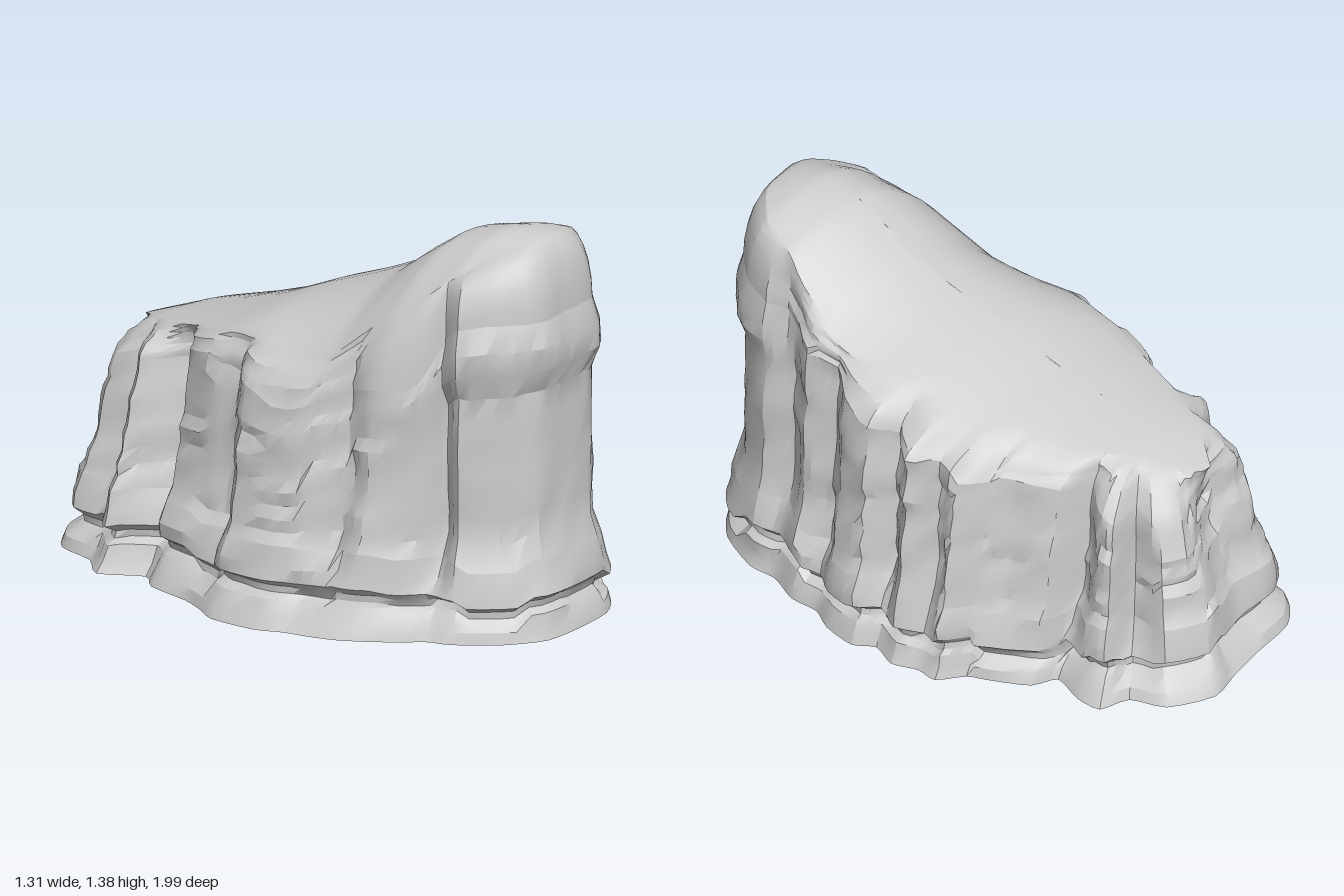
import * as THREE from 'three';
import { toCreasedNormals } from 'three/addons/utils/BufferGeometryUtils.js';

// Foot outline, clockwise from the back: x, z, depth of the vertical crease there
const FOOT = [
  [-0.02, -1, 0], [0.14, -0.93, 0], [0.2, -0.81, 0.05], [0.31, -0.78, 0], [0.32, -0.68, 0],
  [0.29, -0.56, 0.04], [0.38, -0.52, 0], [0.46, -0.4, 0.03], [0.5, -0.33, 0], [0.59, -0.27, 0],
  [0.59, -0.19, 0.04], [0.63, -0.1, 0], [0.6, 0, 0.05], [0.65, 0.07, 0], [0.64, 0.2, 0],
  [0.6, 0.29, 0.04], [0.61, 0.4, 0], [0.57, 0.52, 0.04], [0.58, 0.63, 0], [0.52, 0.8, 0],
  [0.42, 0.9, 0], [0.25, 0.96, 0], [0.09, 0.99, 0], [-0.06, 0.93, 0], [-0.19, 0.82, 0],
  [-0.24, 0.74, 0.08], [-0.32, 0.68, 0.01], [-0.45, 0.55, 0], [-0.51, 0.45, 0.06], [-0.55, 0.36, 0],
  [-0.61, 0.27, 0], [-0.65, 0.1, 0], [-0.62, 0, 0.05], [-0.6, -0.1, 0], [-0.6, -0.28, 0],
  [-0.55, -0.37, 0.05], [-0.66, -0.5, 0], [-0.59, -0.62, 0.05], [-0.58, -0.78, 0], [-0.48, -0.88, 0],
  [-0.3, -0.92, 0.03], [-0.15, -0.96, 0],
];
// Edge of the sloping top
const PLATEAU = [
  [-0.2, -0.8], [-0.11, -0.76], [0, -0.62], [0.12, -0.5], [0.2, -0.35], [0.3, -0.15], [0.4, 0.05],
  [0.47, 0.3], [0.47, 0.5], [0.42, 0.68], [0.3, 0.8], [0.1, 0.82], [-0.05, 0.73], [-0.2, 0.57],
  [-0.34, 0.35], [-0.39, 0.1], [-0.38, -0.15], [-0.36, -0.4], [-0.31, -0.62],
];
// Height along z of the ridge and of the shoulder where the walls end
const RIDGE = [[-0.9, 0.7], [-0.8, 0.75], [-0.6, 0.83], [-0.4, 0.89], [-0.2, 0.96], [0, 1.05], [0.2, 1.13],
  [0.35, 1.2], [0.45, 1.28], [0.55, 1.35], [0.7, 1.385], [0.82, 1.37], [0.95, 1.3]];
const SHOULDER = [[-0.9, 0.64], [-0.6, 0.73], [-0.3, 0.79], [0, 0.85], [0.2, 0.94], [0.5, 1.04], [0.9, 1.12]];
// Swelling foot: height, inset
const SKIRT = [[0, 0], [0.04, 0.012], [0.08, 0.025], [0.1, 0.05], [0.125, 0.045], [0.15, 0.005], [0.2, 0.01], [0.27, 0.03]];
const SUB = 3, N = FOOT.length * SUB, WALL_ROWS = 10, DOME_ROWS = 6, TOP_ROWS = 6;

const { lerp, clamp, smoothstep } = THREE.MathUtils;

function sample(table, v) {
  if (v <= table[0][0]) return table[0][1];
  for (let i = 1; i < table.length; i++) {
    const [a, p] = table[i - 1], [b, q] = table[i];
    if (v <= b) return lerp(p, q, (v - a) / (b - a));
  }
  return table[table.length - 1][1];
}

// Repeatable noise from -1 to 1
function noise(i, j) {
  const s = Math.sin(i * 127.1 + j * 311.7) * 43758.5453;
  return (s - Math.floor(s)) * 2 - 1;
}

// Where a ray from the ridge point (cx, cz) in direction (nx, nz) meets the plateau edge
function plateauPoint(cx, cz, nx, nz) {
  for (let i = 0; i < PLATEAU.length; i++) {
    const [px, pz] = PLATEAU[i], [qx, qz] = PLATEAU[(i + 1) % PLATEAU.length];
    const ax = px - cx, az = pz - cz, ex = qx - px, ez = qz - pz, d = nx * ez - nz * ex;
    const t = (ax * ez - az * ex) / d, u = (ax * nz - az * nx) / d;
    if (t > 0 && u >= 0 && u <= 1) return [cx + nx * t, cz + nz * t];
  }
  return [cx, cz];
}

// The top falls away from the ridge, faster on the model's right
function topHeight(x, z) {
  const off = x - 0.25 * z;
  const fall = off < 0 ? lerp(0.55, 1.9, smoothstep(z, -0.2, 0.7)) : lerp(0.4, 0.9, smoothstep(z, -0.2, 0.5));
  return sample(RIDGE, z) - fall * off * off;
}

// One vertical strip of the rock, from foot to ridge
function column(curve, j) {
  const p = curve.getPoint(j / N), x = p.x, z = p.z, crease = p.y;
  const cz = clamp(z, -0.55, 0.6), cx = 0.25 * cz;
  const len = Math.hypot(x - cx, z - cz), nx = (x - cx) / len, nz = (z - cz) / len;
  const lobe = Math.floor(j / 4), front = smoothstep(z, 0.5, 0.75);
  const setBack = 0.035 * Math.max(smoothstep(-x, 0.15, 0.35), smoothstep(-z, 0.3, 0.7));
  const at = (y, inset) => [x - nx * inset, y, z - nz * inset];
  const pts = SKIRT.map(([y, inset], i) =>
    at(y + (i > 1 ? noise(lobe, 3) * 0.025 : 0), inset + setBack * smoothstep(y, 0, 0.1)
      + crease * smoothstep(y, 0.08, 0.27) + (i ? noise(i, lobe) * 0.01 : 0)));
  // Ribbed walls leaning inwards, with a collar at the front
  const lowSide = 0.2 * smoothstep(-x, 0.18, 0.35) * smoothstep(z, -0.1, 0.3);
  const yS = sample(SHOULDER, z) - lowSide + noise(lobe, 9) * 0.025 * (1 - front);
  const y0 = pts[pts.length - 1][1];
  const lean = (x < 0 ? 0.05 : 0.015) + 0.04 * smoothstep(-z, 0.1, 0.4);
  for (let i = 1; i <= WALL_ROWS; i++) {
    const t = i / WALL_ROWS, y = lerp(y0, yS, t);
    const collar = front * (t > 0.95 ? 0 : t > 0.75 ? -0.025 : 0.015);
    pts.push(at(y + noise(i, lobe) * 0.012 * (1 - front),
      0.045 + setBack + lean * t * (1 - front) + 0.015 * t + crease * (1 - 0.3 * t) + collar
      + noise(i + 20, lobe) * 0.011 * (1 - 0.6 * front) + noise(i, j) * 0.004));
  }
  // Shoulder: rounded at the front, nearly a chamfer elsewhere
  const s = pts[pts.length - 1], [px, pz] = plateauPoint(cx, cz, nx, nz), py = topHeight(px, pz);
  const flat = 0.65 * (1 - front);
  for (let i = 1; i <= DOME_ROWS; i++) {
    const t = i / DOME_ROWS, a = t * Math.PI / 2;
    const h = lerp(1 - Math.cos(a), t, flat), v = lerp(Math.sin(a), t, flat);
    const rough = i < DOME_ROWS ? noise(i + 40, lobe) * 0.008 * (1 - front) : 0;
    pts.push([lerp(s[0], px, h) + nx * rough, lerp(s[1], py, v), lerp(s[2], pz, h) + nz * rough]);
  }
  // Sloping top, closing on the ridge
  for (let i = 1; i <= TOP_ROWS; i++) {
    const t = i / TOP_ROWS, qx = lerp(px, cx, t), qz = lerp(pz, cz, t);
    pts.push([qx, topHeight(qx, qz), qz]);
  }
  return pts;
}

// Skin between two rows of the columns
function skin(columns, from, to, closeBottom) {
  const pos = [], index = [], rows = to - from + 1;
  columns.forEach(c => c.slice(from, to + 1).forEach(p => pos.push(...p)));
  for (let j = 0; j < N; j++) {
    const k = (j + 1) % N;
    for (let i = 0; i < rows - 1; i++) {
      const a = j * rows + i, b = k * rows + i;
      index.push(a, a + 1, b, b, a + 1, b + 1);
    }
    if (closeBottom) index.push(j * rows, k * rows, N * rows);
  }
  if (closeBottom) pos.push(0, 0, 0);
  const g = new THREE.BufferGeometry();
  g.setAttribute('position', new THREE.Float32BufferAttribute(pos, 3));
  g.setIndex(index);
  return toCreasedNormals(g, 0.45);
}

export function createModel() {
  const group = new THREE.Group();
  group.name = 'rock';
  const stone = new THREE.MeshStandardMaterial({ color: 0xcccccc });
  stone.name = 'pale grey stone';
  const curve = new THREE.CatmullRomCurve3(
    FOOT.map(([x, z, c]) => new THREE.Vector3(x, c, z)), true, 'catmullrom', 0.35);
  const columns = Array.from({ length: N }, (_, j) => column(curve, j));
  const wallStart = SKIRT.length - 1, wallEnd = wallStart + WALL_ROWS;
  const parts = [
    ['foot', 0, wallStart, true],
    ['ribbedWalls', wallStart, wallEnd, false],
    ['domedTop', wallEnd, wallEnd + DOME_ROWS + TOP_ROWS, false],
  ];
  for (const [name, from, to, closed] of parts) {
    const mesh = new THREE.Mesh(skin(columns, from, to, closed), stone);
    mesh.name = name;
    group.add(mesh);
  }
  return group;
}
